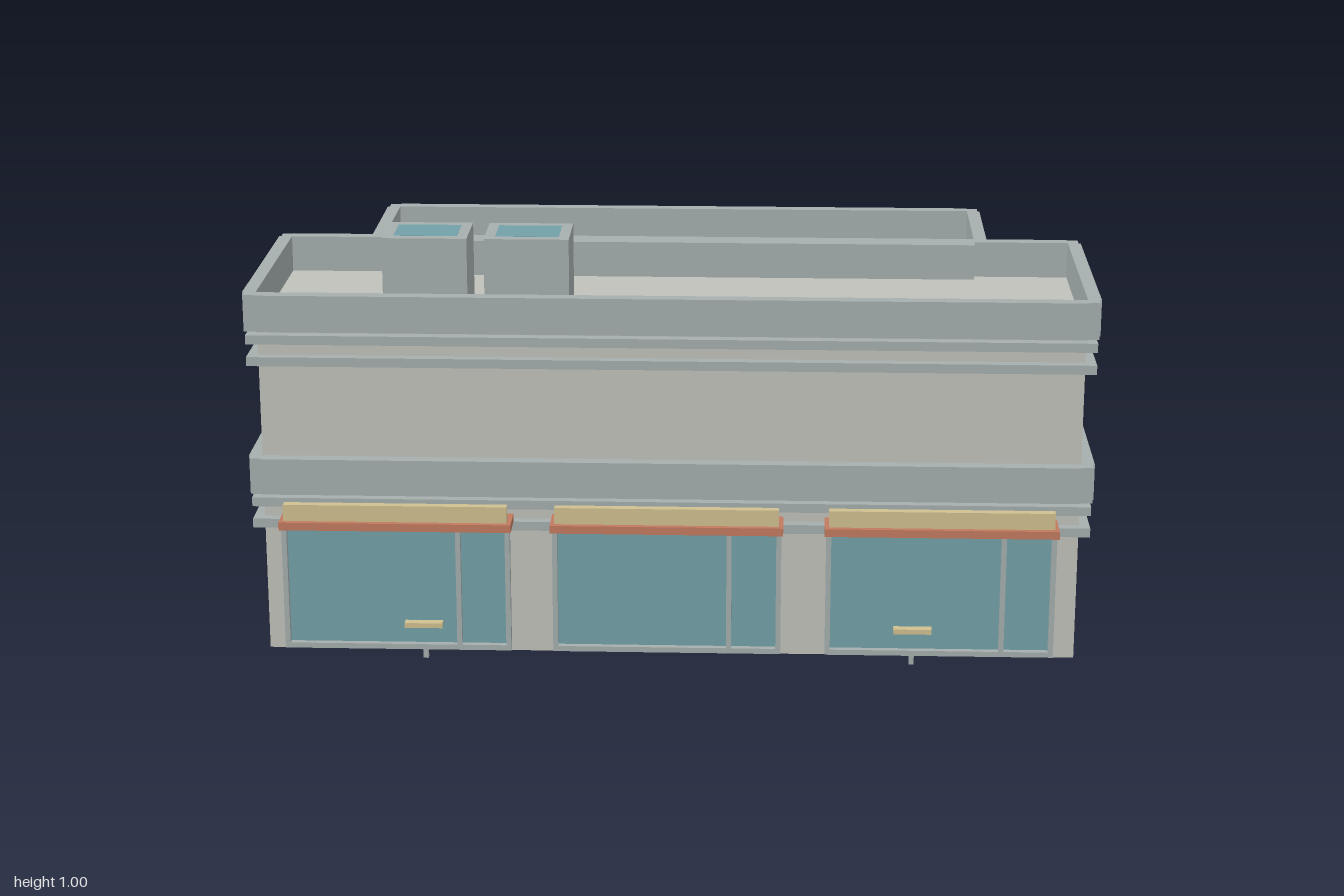
import * as THREE from 'three';

const mat = (color) => new THREE.MeshStandardMaterial({ color });

export function createModel() {
  const root = new THREE.Group();
  const wall = mat(0xc0c1ba), trim = mat(0xa5afae), glass = mat(0x73a0a8);
  const red = mat(0xc17a5e), gold = mat(0xd0c090);

  // Box given by its min and max on each axis
  function box(name, material, x0, x1, y0, y1, z0, z1, parent = root) {
    const m = new THREE.Mesh(new THREE.BoxGeometry(x1 - x0, y1 - y0, z1 - z0), material);
    m.position.set((x0 + x1) / 2, (y0 + y1) / 2, (z0 + z1) / 2);
    m.name = name;
    parent.add(m);
    return m;
  }

  // Pushes a right-angled counter-clockwise plan outwards by d;
  // outer corners step in by n to leave a slim corner post
  function expand(plan, d, n) {
    const out = [];
    plan.forEach((p, i) => {
      const a = p.clone().sub(plan.at(i - 1)).normalize();
      const b = plan[(i + 1) % plan.length].clone().sub(p).normalize();
      const convex = a.cross(b) > 0;
      const c = p.clone().addScaledVector(a, convex ? d : -d).addScaledVector(b, convex ? -d : d);
      const at = (s, t) => out.push(c.clone().addScaledVector(a, -s).addScaledVector(b, t));
      if (convex && n) {
        at(d, 0); at(d, n); at(n, n); at(n, d); at(0, d);
      } else at(0, 0);
    });
    return out;
  }

  // Upright extrusion of a plan drawn as (x, -z)
  function slab(name, material, outline, y0, y1, hole) {
    const shape = new THREE.Shape(outline);
    if (hole) shape.holes.push(new THREE.Path(hole));
    const g = new THREE.ExtrudeGeometry(shape, { depth: y1 - y0, bevelEnabled: false });
    g.rotateX(-Math.PI / 2);
    g.translate(0, y0, 0);
    const m = new THREE.Mesh(g, material);
    m.name = name;
    root.add(m);
  }

  // One storey: walls, two moulded bands and a parapet around the roof
  function storey(name, pts, y0) {
    const plan = pts.map(([x, y]) => new THREE.Vector2(x, y));
    const top = y0 + 0.4;
    slab(name + 'Walls', wall, plan, y0, top);
    slab(name + 'LowerBand', trim, expand(plan, 0.025, 0), top - 0.085, top - 0.063, plan);
    slab(name + 'UpperBand', trim, expand(plan, 0.025, 0), top - 0.032, top - 0.01, plan);
    slab(name + 'Parapet', trim, expand(plan, 0.032, 0.005), top, top + 0.088, plan);
  }

  storey('ground', [[-0.967, -0.4], [0.967, -0.4], [0.967, 0.467], [-0.967, 0.467]], 0);
  storey('upper', [
    [-0.967, -0.4], [0.967, -0.4], [0.967, 0.137], [0.736, 0.137],
    [0.736, 0.467], [-0.736, 0.467], [-0.736, 0.137], [-0.967, 0.137],
  ], 0.4);
  box('roofDivider', trim, -0.736, 0.736, 0.8, 0.888, -0.17, -0.107);

  // Rooftop units
  for (const x of [-0.58, -0.34]) {
    box('roofUnit', trim, x - 0.1, x + 0.1, 0.8, 1, 0.16, 0.32);
    box('roofUnitPane', glass, x - 0.075, x + 0.075, 0.99, 1.0005, 0.185, 0.295);
  }

  // Shopfronts: glass, frame with off-centre mullion, canopy and sign board
  for (const x of [-0.645, -0.005, 0.64]) {
    const shop = new THREE.Group();
    shop.name = 'shopfront';
    shop.position.x = x;
    root.add(shop);
    box('glass', glass, -0.262, 0.262, 0.045, 0.335, 0.46, 0.47, shop);
    for (const px of [-0.264, 0.147, 0.264])
      box('framePost', trim, px - 0.006, px + 0.006, 0.033, 0.335, 0.467, 0.485, shop);
    box('frameSill', trim, -0.27, 0.27, 0.033, 0.046, 0.467, 0.485, shop);
    box('canopy', red, -0.274, 0.274, 0.335, 0.354, 0.415, 0.5, shop);
    box('signBoard', gold, -0.264, 0.264, 0.354, 0.394, 0.467, 0.487, shop);
  }

  // Small shelves on a single leg
  for (const x of [-0.583, 0.577]) {
    box('shelfTop', gold, x - 0.045, x + 0.045, 0.09, 0.102, 0.415, 0.492);
    box('shelfLeg', trim, x - 0.006, x + 0.006, 0, 0.09, 0.443, 0.457);
  }

  return root;
}
